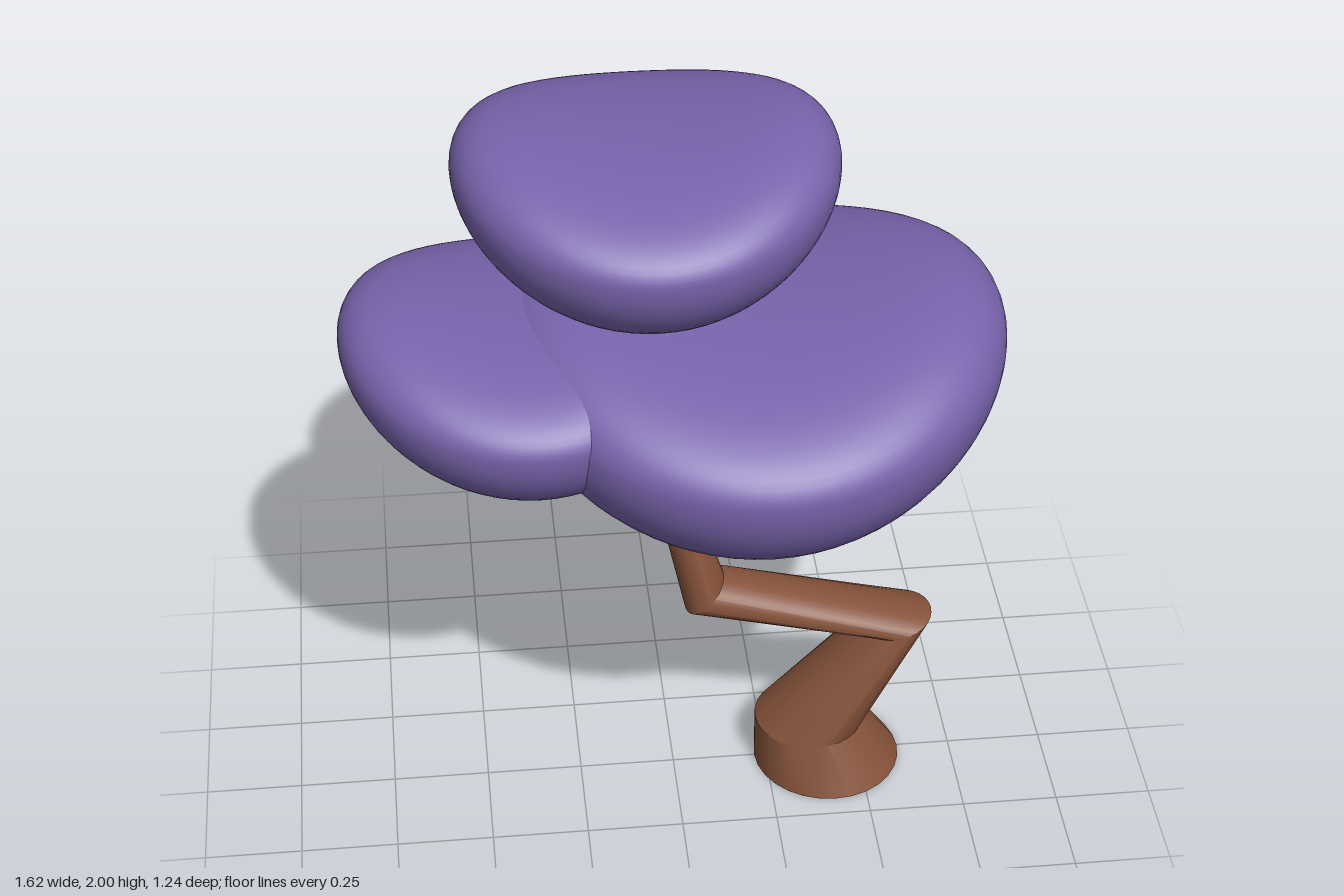
import * as THREE from 'three';
import { toCreasedNormals } from 'three/addons/utils/BufferGeometryUtils.js';

const bark = new THREE.MeshStandardMaterial({ color: 0x85523a, side: THREE.DoubleSide });
const leaves = new THREE.MeshStandardMaterial({ color: 0x7762aa });

// Open tube lofted through rings. Ring: [left x, left y, right x, right y, half depth]
function loft(rings, sides = 28) {
  const pos = [], index = [];
  for (const [lx, ly, rx, ry, depth] of rings) {
    for (let i = 0; i < sides; i++) {
      const a = (i / sides) * Math.PI * 2;
      const t = (1 + Math.cos(a)) / 2;
      pos.push(lx + (rx - lx) * t, ly + (ry - ly) * t, -Math.sin(a) * depth);
    }
  }
  for (let r = 0; r < rings.length - 1; r++) {
    for (let i = 0; i < sides; i++) {
      const j = (i + 1) % sides;
      const a = r * sides + i, b = r * sides + j;
      index.push(a, b, b + sides, a, b + sides, a + sides);
    }
  }
  const geo = new THREE.BufferGeometry();
  geo.setAttribute('position', new THREE.Float32BufferAttribute(pos, 3));
  geo.setIndex(index);
  return toCreasedNormals(geo, 0.4);
}

// Unit bean-shaped cushion: round from above, deep belly, ends curled up along x
function cushionGeometry() {
  const geo = new THREE.SphereGeometry(1, 64, 40);
  const p = geo.attributes.position;
  for (let i = 0; i < p.count; i++) {
    const x = p.getX(i), y = p.getY(i), z = p.getZ(i);
    const bend = 0.145 * x * x;
    // the upper side stays full towards the two ends, leaving a shallow saddle
    const height = y > 0 ? 0.34 * y * (1 + 0.65 * x * x) : 0.63 * y;
    // slight ripples on the underside at the back
    const back = Math.max(0, -z - 0.4) * Math.max(0, -y);
    p.setY(i, height + bend + 0.08 * back * Math.sin(11 * x + 5 * y));
  }
  geo.computeVertexNormals();
  // join the normals across the sphere's seam
  const n = geo.attributes.normal;
  for (let r = 0; r <= 40; r++) {
    const a = r * 65, b = a + 64;
    const v = new THREE.Vector3().fromBufferAttribute(n, a)
      .add(new THREE.Vector3().fromBufferAttribute(n, b)).normalize();
    n.setXYZ(a, v.x, v.y, v.z);
    n.setXYZ(b, v.x, v.y, v.z);
  }
  return geo;
}

export function createModel() {
  const group = new THREE.Group();
  const add = (name, geo, mat) => {
    const mesh = new THREE.Mesh(geo, mat);
    mesh.name = name;
    group.add(mesh);
    return mesh;
  };

  // Zigzag trunk, tapering up into the smaller side cushion
  add('trunk', loft([
    [0.22, 0, 0.61, 0, 0.195],
    [0.22, 0.14, 0.51, 0.14, 0.145],
    [0.50, 0.44, 0.68, 0.48, 0.1],
    [0.03, 0.54, 0.13, 0.64, 0.08],
    [-0.035, 0.85, 0.05, 0.89, 0.052],
    [-0.29, 1.18, -0.22, 1.22, 0.04],
  ]), bark);

  // Short side branch reaching into the large cushion
  add('branch', loft([
    [0.0, 0.9, 0.02, 0.87, 0.03],
    [0.14, 1.02, 0.17, 0.98, 0.025],
  ], 16), bark);

  // Foliage: name, x, y of the rim, radius
  const cushion = cushionGeometry();
  for (const [name, x, y, r] of [
    ['largeFoliage', 0.19, 1.31, 0.62],
    ['sideFoliage', -0.35, 1.37, 0.46],
    ['topFoliage', -0.065, 1.825, 0.457],
  ]) {
    const mesh = add(name, cushion, leaves);
    mesh.position.set(x, y, 0);
    mesh.scale.setScalar(r);
  }
  return group;
}
